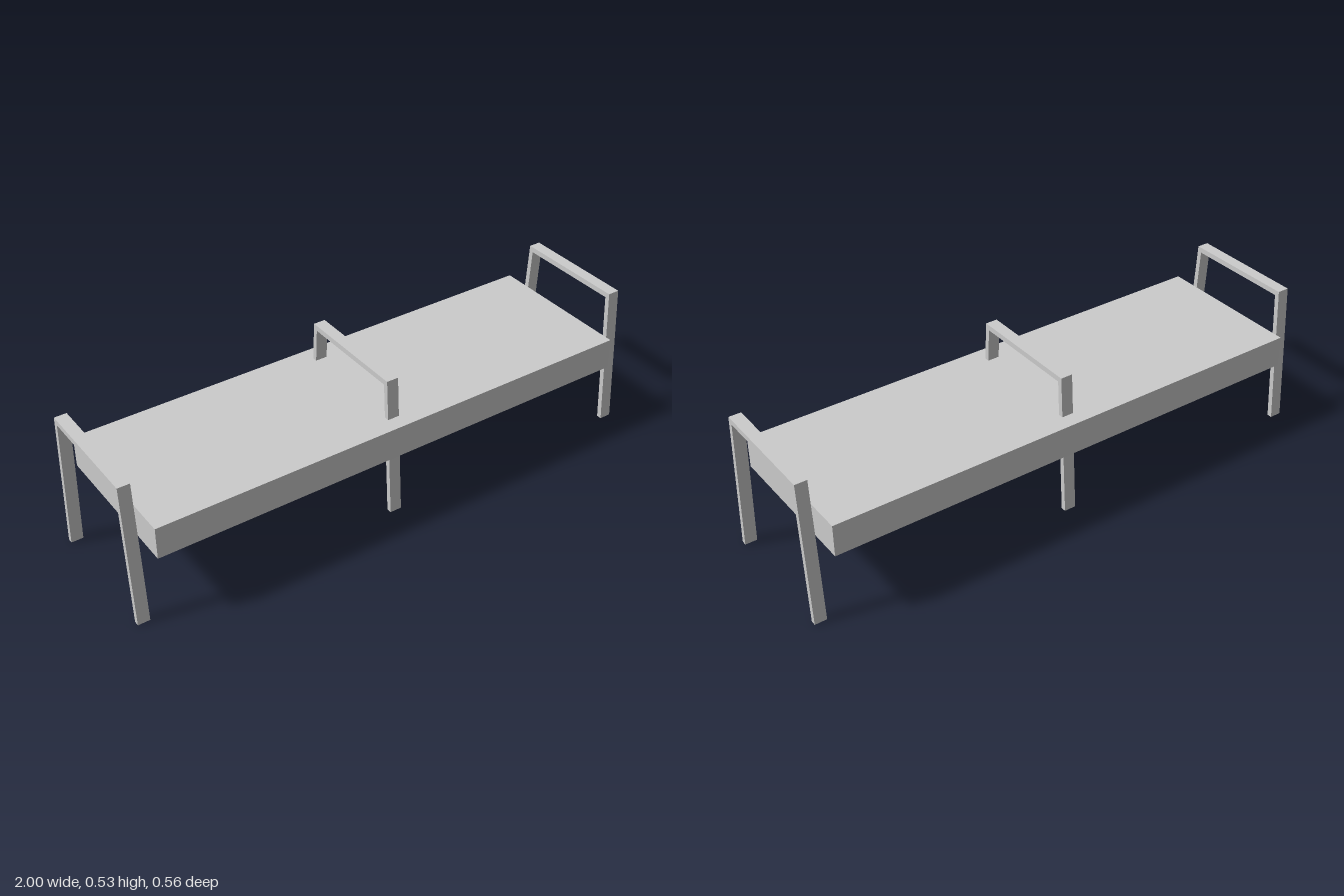
import * as THREE from 'three';

const material = new THREE.MeshStandardMaterial({ color: 0xcccccc, flatShading: true });
const FRAME_WIDTH = 0.044;

// Splayed, upside-down U: two legs joined by an armrest bar
function frameGeometry() {
  const half = [[0.25, 0], [0.217, 0.527]];
  const inner = [[0.2, 0.507], [0.231, 0]];
  const mirror = (points) => points.map(([z, y]) => [-z, y]).reverse();
  const outline = [...half, ...mirror(half), ...mirror(inner), ...inner];
  const shape = new THREE.Shape(outline.map(([z, y]) => new THREE.Vector2(z, y)));
  const geometry = new THREE.ExtrudeGeometry(shape, { depth: FRAME_WIDTH, bevelEnabled: false });
  return geometry.translate(0, 0, -FRAME_WIDTH / 2).rotateY(Math.PI / 2);
}

export function createModel() {
  const bench = new THREE.Group();
  bench.name = 'bench';

  // Thick slab seat
  const seat = new THREE.Mesh(new THREE.BoxGeometry(1.845, 0.117, 0.564), material);
  seat.name = 'seat';
  seat.position.y = 0.3205;
  bench.add(seat);

  // End frames stand clear of the seat; the middle one passes through it
  const geometry = frameGeometry();
  const frames = { rightFrame: -0.978, middleFrame: 0, leftFrame: 0.978 };
  for (const [name, x] of Object.entries(frames)) {
    const frame = new THREE.Mesh(geometry, material);
    frame.name = name;
    frame.position.x = x;
    bench.add(frame);
  }

  return bench;
}
